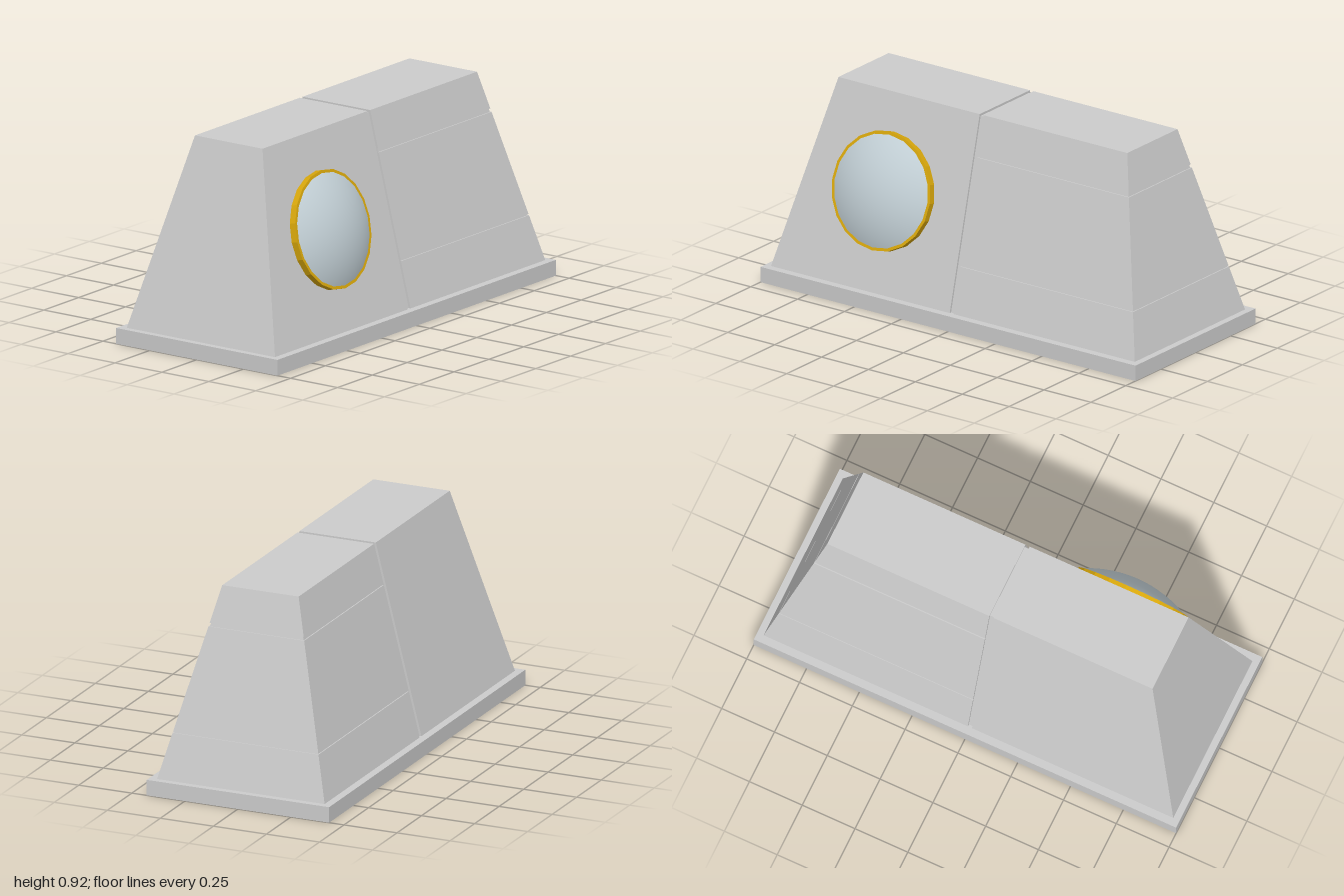
import * as THREE from 'three';

const Y0 = 0.07, Y1 = 0.915;                 // body bottom and top
const halfX = y => THREE.MathUtils.mapLinear(y, Y0, Y1, 0.97, 0.77);
const halfZ = y => THREE.MathUtils.mapLinear(y, Y0, Y1, 0.395, 0.18);
const grey = new THREE.MeshStandardMaterial({ color: 0xcccccc, flatShading: true });

// Slab of the tapered body between two heights; xMin / xMax cut it vertically.
function slab(name, yLow, yHigh, { xMin = -9, xMax = 9, inset = 0 } = {}) {
  const geo = new THREE.BoxGeometry(2, 1, 2);
  const p = geo.attributes.position;
  for (let i = 0; i < p.count; i++) {
    const y = p.getY(i) > 0 ? yHigh : yLow;
    const x = p.getX(i) * (halfX(y) - inset);
    p.setXYZ(i, THREE.MathUtils.clamp(x, xMin, xMax), y, p.getZ(i) * (halfZ(y) - inset));
  }
  geo.computeVertexNormals();
  const mesh = new THREE.Mesh(geo, grey);
  mesh.name = name;
  return mesh;
}

export function createModel() {
  const model = new THREE.Group();
  model.name = 'model';

  // Base plinth
  const base = new THREE.Mesh(new THREE.BoxGeometry(2, Y0, 0.86), grey);
  base.name = 'base';
  base.position.y = Y0 / 2;
  model.add(base);

  // Recessed cores form the floors of the grooves
  model.add(slab('core', Y0, Y1 - 0.01, { inset: 0.01 }));
  model.add(slab('leftCore', Y0, Y1 - 0.01, { xMin: 0.003, inset: 0.005 }));

  // Plain right half, and left half split by two horizontal grooves
  model.add(slab('rightHalf', Y0, Y1, { xMax: -0.017 }));
  [['leftLowerPanel', Y0, 0.271], ['leftMiddlePanel', 0.276, 0.735], ['leftUpperPanel', 0.75, Y1]]
    .forEach(([name, a, b]) => model.add(slab(name, a, b, { xMin: 0.003 })));

  // Round lamp lying on the sloping front face
  const lamp = new THREE.Group();
  lamp.name = 'lamp';
  const yLamp = 0.5;
  lamp.position.set(-0.443, yLamp, halfZ(yLamp));
  lamp.rotation.x = -Math.atan((halfZ(Y0) - halfZ(Y1)) / (Y1 - Y0));

  const rim = new THREE.Mesh(
    new THREE.CylinderGeometry(0.26, 0.26, 0.03, 20),
    new THREE.MeshStandardMaterial({ color: 0xd9a80c, flatShading: true }));
  rim.name = 'lampRim';
  rim.rotation.x = Math.PI / 2;
  rim.position.z = 0.015;

  // Shallow spherical lens
  const r = 0.247, h = 0.061, R = (r * r + h * h) / (2 * h);
  const lens = new THREE.Mesh(
    new THREE.SphereGeometry(R, 20, 8, 0, Math.PI * 2, 0, Math.asin(r / R)),
    new THREE.MeshStandardMaterial({ color: 0xc3d0d6 }));
  lens.name = 'lampLens';
  lens.rotation.x = Math.PI / 2;
  lens.position.z = 0.03 + h - R;
  lamp.add(rim, lens);
  model.add(lamp);

  return model;
}
